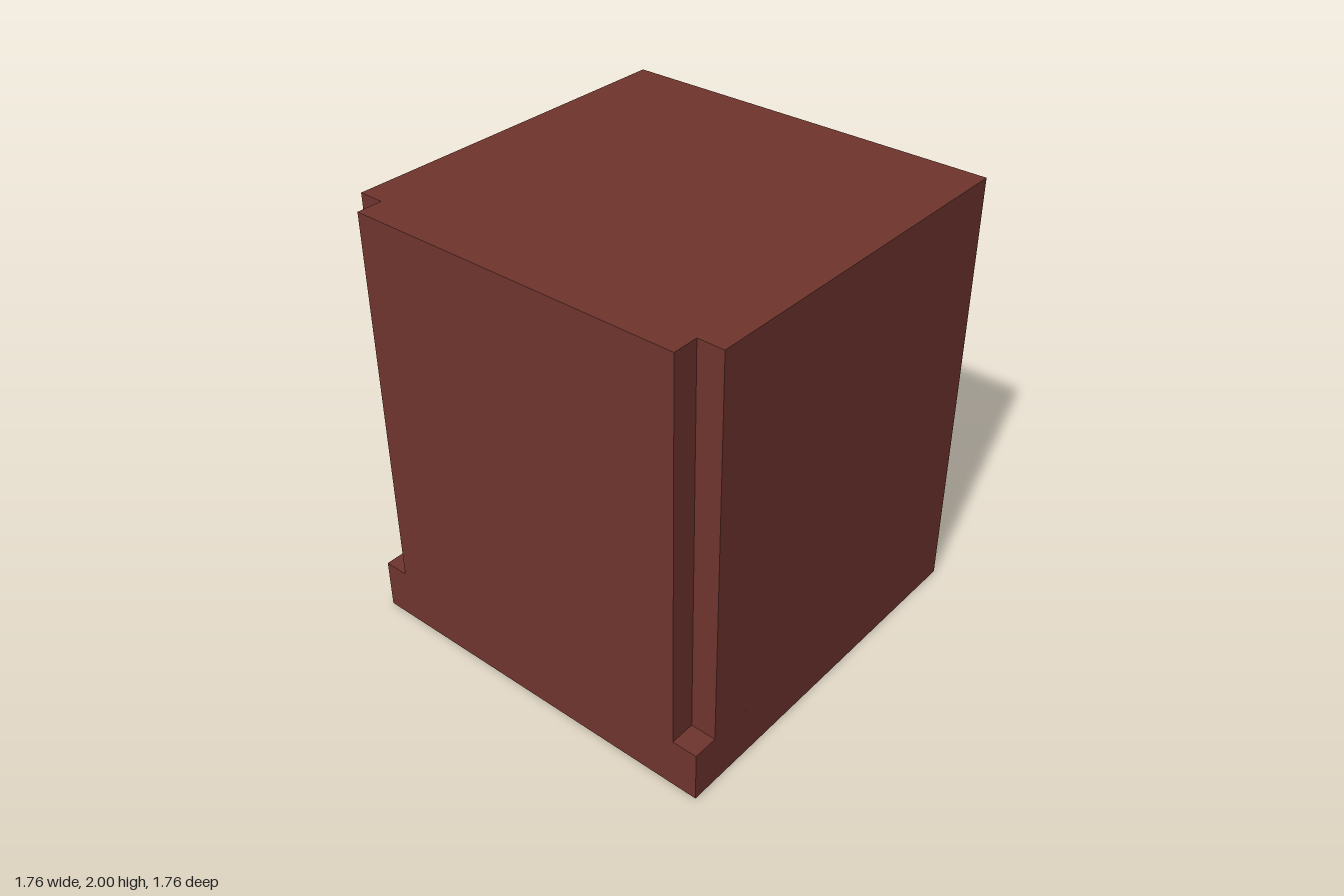
import * as THREE from 'three';

const HALF = 0.88;    // half of the square footprint
const INNER = 0.765;  // where the front corner notches begin
const BASE_H = 0.235; // height of the solid base
const TOTAL_H = 2;

// Vertical prism from an [x, z] outline
function prism(outline, y0, y1, material, name) {
  const shape = new THREE.Shape(outline.map(([x, z]) => new THREE.Vector2(x, -z)));
  const geometry = new THREE.ExtrudeGeometry(shape, { depth: y1 - y0, bevelEnabled: false });
  geometry.rotateX(-Math.PI / 2);
  geometry.translate(0, y0, 0);
  const mesh = new THREE.Mesh(geometry, material);
  mesh.name = name;
  return mesh;
}

export function createModel() {
  const model = new THREE.Group();
  model.name = 'notchedBlock';
  const brown = new THREE.MeshStandardMaterial({ color: 0x70352e });
  brown.name = 'reddish brown';

  // Full square base
  const square = [[-HALF, HALF], [HALF, HALF], [HALF, -HALF], [-HALF, -HALF]];
  model.add(prism(square, 0, BASE_H, brown, 'base'));

  // Upper body with a square notch down each front corner
  const rightHalf = [[INNER, HALF], [INNER, INNER], [HALF, INNER], [HALF, -HALF]];
  const leftHalf = rightHalf.map(([x, z]) => [-x, z]).reverse();
  model.add(prism([...rightHalf, ...leftHalf], BASE_H, TOTAL_H, brown, 'body'));

  return model;
}
